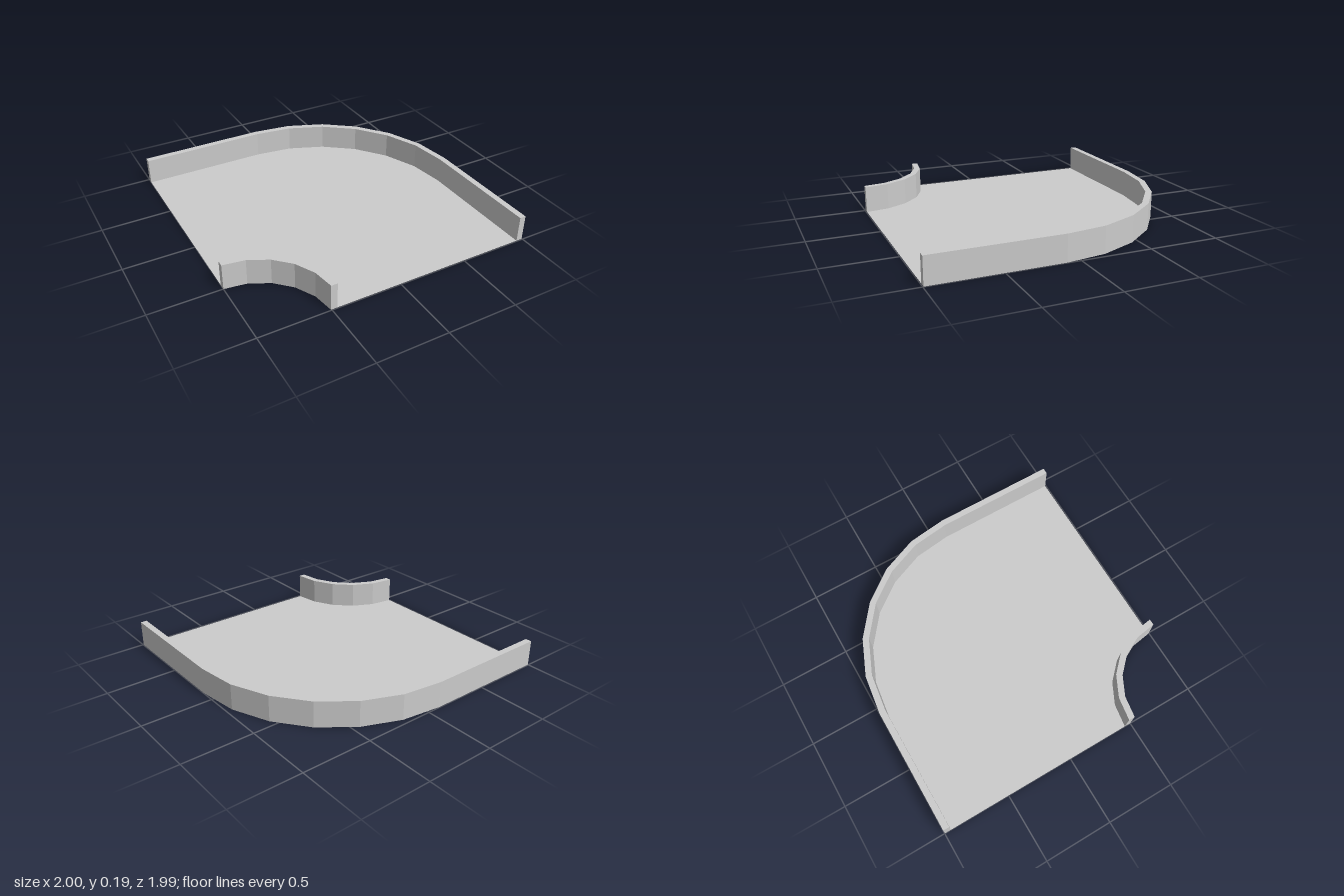
import * as THREE from 'three';

const HEIGHT = 0.187;
const END = 0.995; // half depth of the tile

// Faceted quarter arc in plan, from the back (-z) round to the left (+x)
function arc(cx, cz, r, segments) {
  return Array.from({ length: segments + 1 }, (_, i) => {
    const a = (i / segments) * Math.PI / 2;
    return [cx + r * Math.sin(a), cz - r * Math.cos(a)];
  });
}

// Hollow wall between two plan lines: outer side, top, inner side and both ends
function wallGeometry(outer, inner) {
  const pos = [];
  const quad = (a, b, c, d) => [a, b, c, a, c, d].forEach((p) => pos.push(...p));
  const section = (i) => [
    [outer[i][0], 0, outer[i][1]],
    [outer[i][0], HEIGHT, outer[i][1]],
    [inner[i][0], HEIGHT, inner[i][1]],
    [inner[i][0], 0, inner[i][1]],
  ];
  const last = outer.length - 1;
  for (let i = 0; i < last; i++) {
    const a = section(i), b = section(i + 1);
    for (let k = 0; k < 3; k++) quad(a[k], a[k + 1], b[k + 1], b[k]);
  }
  const s = section(0), e = section(last);
  quad(s[3], s[2], s[1], s[0]);
  quad(e[0], e[1], e[2], e[3]);
  const g = new THREE.BufferGeometry();
  g.setAttribute('position', new THREE.Float32BufferAttribute(pos, 3));
  g.computeVertexNormals();
  return g;
}

export function createModel() {
  const group = new THREE.Group();
  const material = new THREE.MeshStandardMaterial({
    color: 0xcccccc, flatShading: true, side: THREE.DoubleSide,
  });
  const add = (name, geometry) => {
    const mesh = new THREE.Mesh(geometry, material);
    mesh.name = name;
    group.add(mesh);
  };

  // Straight, large bend, straight
  const bigLine = (r) => {
    const bend = arc(-0.095, 0.095, r, 6);
    return [[-1, 0.095 - r], ...bend, [-0.095 + r, END]];
  };
  const bigOuter = bigLine(1.092), bigInner = bigLine(1.047);
  add('outerWall', wallGeometry(bigOuter, bigInner));

  // Small bend around the cut-out corner
  const smallOuter = arc(-1, END, 0.54, 5), smallInner = arc(-1, END, 0.495, 5);
  add('innerWall', wallGeometry(smallOuter, smallInner));

  // Flat floor between the two walls
  const outline = [...bigInner, ...smallOuter.slice().reverse()];
  const shape = new THREE.Shape(outline.map(([x, z]) => new THREE.Vector2(x, -z)));
  add('floor', new THREE.ShapeGeometry(shape).rotateX(-Math.PI / 2));

  return group;
}
